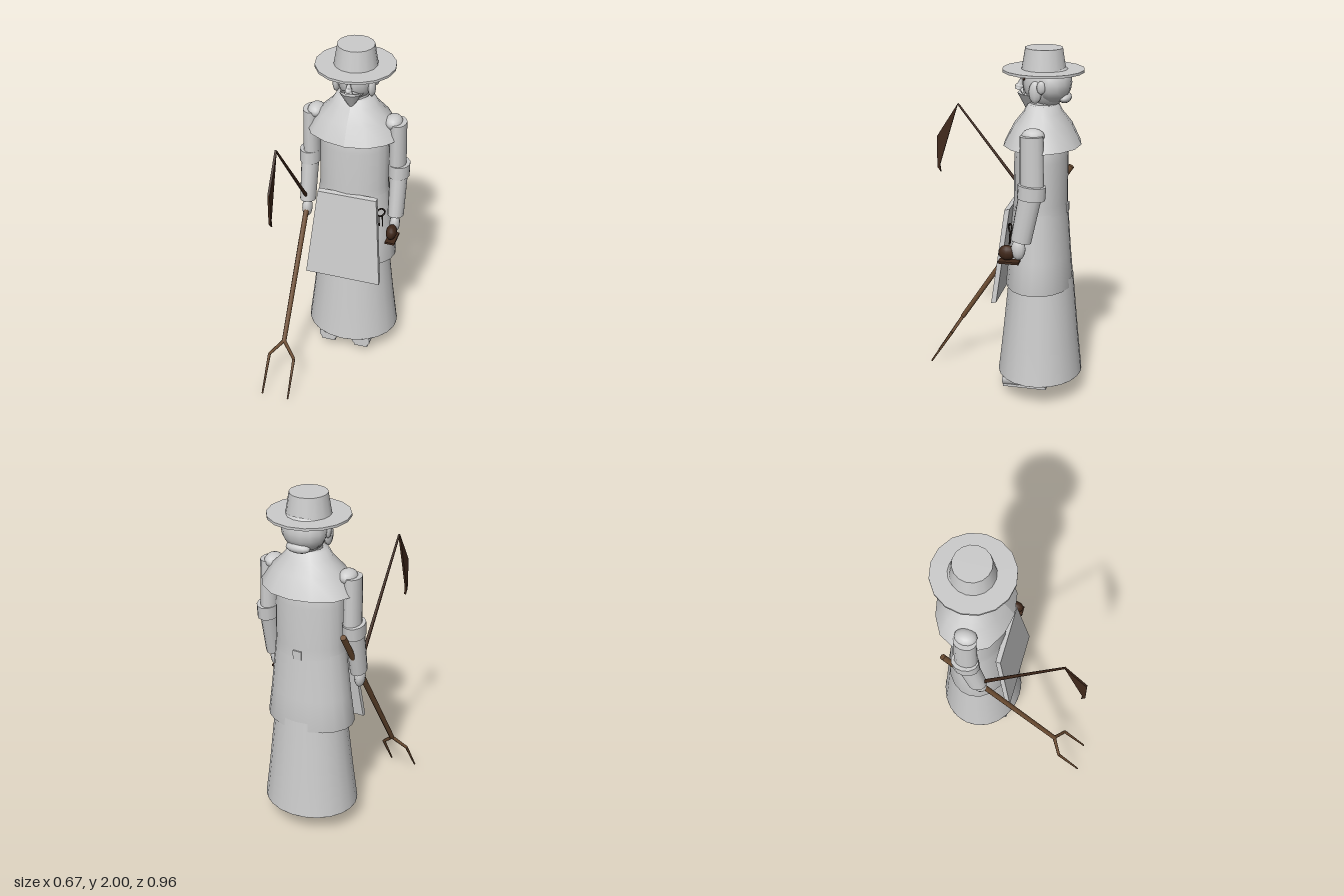
import * as THREE from 'three';

const mat = (name, color, side = THREE.FrontSide) => {
  const m = new THREE.MeshStandardMaterial({ color, side });
  m.name = name;
  return m;
};

export function createModel() {
  const pale = mat('pale cloth', 0xcccccc, THREE.DoubleSide);
  const wood = mat('wood', 0x6e4e33);
  const darkWood = mat('dark wood', 0x40281a, THREE.DoubleSide);
  const iron = mat('dark iron', 0x2a211c);
  const root = new THREE.Group();
  root.name = 'robedFigure';
  const CX = 0.012, CZ = -0.237;
  const V = (x, y, z) => new THREE.Vector3(x, y, z);

  const add = (name, geo, material, x = 0, y = 0, z = 0) => {
    const m = new THREE.Mesh(geo, material);
    m.name = name;
    m.position.set(x, y, z);
    root.add(m);
    return m;
  };
  // turned shape around the body axis; profile is [radius, height]
  const turned = (name, profile, sides, sx = 1, sz = 1, z = CZ) => {
    const g = new THREE.LatheGeometry(profile.map(p => new THREE.Vector2(...p)), sides);
    g.scale(sx, 1, sz);
    return add(name, g, pale, CX, 0, z);
  };
  // tapered rod from a to b
  const rod = (name, a, b, ra, rb, material, sides = 10, sx = 1) => {
    const d = b.clone().sub(a);
    const m = add(name, new THREE.CylinderGeometry(rb, ra, d.length(), sides), material);
    m.position.copy(a).add(b).multiplyScalar(0.5);
    m.quaternion.setFromUnitVectors(V(0, 1, 0), d.normalize());
    m.scale.x = sx;
    return m;
  };
  const ball = (name, x, y, z, rx, ry, rz, material = pale, n = 14) => {
    const g = new THREE.SphereGeometry(1, n, 10);
    g.scale(rx, ry, rz);
    return add(name, g, material, x, y, z);
  };
  // prism from a loop of four lower and four upper corners
  const slab = (name, lower, upper, material) => {
    const p = [...lower, ...upper];
    const quads = [[3, 2, 1, 0], [4, 5, 6, 7]];
    for (let i = 0; i < 4; i++) quads.push([i, (i + 1) % 4, (i + 1) % 4 + 4, i + 4]);
    const pos = quads.flatMap(([a, b, c, d]) => [a, b, c, a, c, d].flatMap(i => p[i]));
    const g = new THREE.BufferGeometry();
    g.setAttribute('position', new THREE.Float32BufferAttribute(pos, 3));
    g.computeVertexNormals();
    return add(name, g, material);
  };

  // robe, coat and torso
  turned('robe', [[0.272, 0.13], [0.245, 0.35], [0.205, 0.72]], 22, 1, 0.88);
  const hem = add('robeBase', new THREE.CircleGeometry(0.272, 22), pale, CX, 0.131, CZ);
  hem.rotation.x = Math.PI / 2;
  hem.scale.y = 0.88;
  turned('coatSkirt', [[0.225, 0.67], [0.255, 0.67], [0.232, 0.85], [0.204, 1.12]], 20, 1, 0.74, -0.229);
  turned('torso', [[0.205, 1.1], [0.2, 1.16], [0.198, 1.4], [0.18, 1.56], [0.09, 1.62]], 20, 1, 0.74, -0.23);
  add('beltKnot', new THREE.BoxGeometry(0.05, 0.05, 0.015), pale, CX, 1.12, -0.378);

  // cape with an uneven lower edge and a standing collar
  const cape = turned('cape', [[0.272, 1.48], [0.205, 1.585], [0.135, 1.655], [0.108, 1.7], [0.075, 1.7]], 14, 1, 0.78);
  const cp = cape.geometry.attributes.position;
  for (let i = 0; i < cp.count; i++) {
    if (cp.getY(i) < 1.5) {
      const k = 1 + 0.02 * Math.cos(7 * Math.atan2(cp.getZ(i), cp.getX(i)));
      cp.setX(i, cp.getX(i) * k);
      cp.setZ(i, cp.getZ(i) * k);
    }
  }
  cape.geometry.computeVertexNormals();

  // apron
  slab('apron',
    [[-0.21, 0.6, 0.003], [0.235, 0.6, 0.003], [0.235, 0.605, -0.025], [-0.21, 0.605, -0.025]],
    [[-0.155, 1.135, -0.062], [0.19, 1.135, -0.062], [0.19, 1.14, -0.09], [-0.155, 1.14, -0.09]], pale);

  // head
  ball('head', CX, 1.81, -0.25, 0.108, 0.135, 0.125);
  ball('hair', CX, 1.815, -0.285, 0.126, 0.115, 0.105);
  ball('backHairCurl', CX, 1.735, -0.355, 0.07, 0.028, 0.035);
  rod('neck', V(CX, 1.6, CZ), V(CX, 1.75, CZ), 0.075, 0.07, pale);
  const nose = add('nose', new THREE.ConeGeometry(0.024, 0.085, 8), pale, CX, 1.81, -0.112);
  nose.rotation.x = -0.25;
  ball('noseTip', CX, 1.785, -0.105, 0.02, 0.018, 0.024, pale, 8);
  const beard = add('beard', new THREE.ConeGeometry(0.066, 0.1, 9), pale, CX, 1.698, -0.155);
  beard.rotation.x = Math.PI - 0.1;
  for (const s of [-1, 1]) {
    const x = o => CX + s * o;
    ball('ear', x(0.117), 1.805, -0.245, 0.014, 0.035, 0.024, pale, 8);
    ball('sideburn', x(0.1), 1.775, -0.21, 0.022, 0.06, 0.035, pale, 8);
    rod('moustache', V(x(0), 1.772, -0.115), V(x(0.055), 1.752, -0.14), 0.012, 0.004, pale, 6);
    ball('eye', x(0.04), 1.834, -0.137, 0.017, 0.009, 0.008, darkWood, 8);
    rod('eyebrow', V(x(0.018), 1.846, -0.13), V(x(0.062), 1.849, -0.147), 0.005, 0.003, iron, 5);
  }
  rod('mouth', V(CX - 0.022, 1.748, -0.135), V(CX + 0.022, 1.748, -0.135), 0.003, 0.003, iron, 5);

  // hat
  add('hatBrim', new THREE.CylinderGeometry(0.222, 0.222, 0.014, 16), pale, CX, 1.88, -0.235);
  add('hatCrown', new THREE.CylinderGeometry(0.102, 0.122, 0.12, 16), pale, CX, 1.94, -0.237);

  // arms and feet
  for (const s of [-1, 1]) {
    const x = o => CX + s * o;
    rod('upperArm', V(x(0.252), 1.25, -0.228), V(x(0.25), 1.575, -0.222), 0.066, 0.063, pale, 14, 0.74);
    ball('shoulder', x(0.222), 1.57, -0.225, 0.05, 0.04, 0.062);
    rod('sleeveCuff', V(x(0.262), 1.235, -0.225), V(x(0.262), 1.31, -0.23), 0.077, 0.077, pale, 12, 0.78);
    rod('forearm', V(x(0.264), 0.995, -0.172), V(x(0.262), 1.26, -0.222), 0.057, 0.063, pale, 14, 0.8);
    ball('hand', x(0.264), 0.945, -0.158, 0.03, 0.06, 0.04, pale, 10);
    const shoe = rod('shoe', V(x(0.103), 0.1, -0.3), V(x(0.103), 0.1, -0.045), 0.055, 0.058, pale, 10);
    shoe.scale.z = 0.8;
    add('sole', new THREE.BoxGeometry(0.085, 0.015, 0.25), pale, x(0.103), 0.062, -0.172);
    rod('ankle', V(x(0.103), 0.1, -0.24), V(x(0.103), 0.3, -0.24), 0.05, 0.05, pale);
  }

  // two-pronged fork in the right hand
  const FX = -0.25;
  rod('forkHandle', V(FX, 0.285, 0.295), V(FX, 1.28, -0.355), 0.014, 0.017, wood, 8);
  for (const s of [-1, 1]) {
    const bend = V(FX + s * 0.076, 0.205, 0.345);
    rod('forkShoulder', V(FX, 0.287, 0.294), bend, 0.011, 0.009, wood, 6);
    rod('forkProng', bend, V(FX + s * 0.079, 0.003, 0.475), 0.009, 0.005, wood, 6);
  }

  // scythe in the right hand
  rod('scythePole', V(FX, 1.0, -0.165), V(FX, 1.607, 0.31), 0.011, 0.006, darkWood, 6);
  const blade = new THREE.Shape([[0.31, 1.61], [0.437, 1.41], [0.438, 1.225], [0.417, 1.195], [0.422, 1.24]]
    .map(p => new THREE.Vector2(...p)));
  const bg = new THREE.ExtrudeGeometry(blade, { depth: 0.012, bevelEnabled: false });
  bg.rotateY(-Math.PI / 2);
  add('scytheBlade', bg, darkWood, FX + 0.006, 0, 0);

  // small pot on a plate in the left hand
  ball('pot', 0.275, 0.922, -0.095, 0.031, 0.043, 0.048, darkWood, 10);
  add('potPlate', new THREE.BoxGeometry(0.056, 0.012, 0.115), darkWood, 0.277, 0.871, -0.107);

  // ring of keys at the belt
  const ring = add('keyRing', new THREE.TorusGeometry(0.025, 0.005, 6, 12), iron, 0.208, 1.04, -0.1);
  ring.rotation.y = 0.6;
  for (const o of [-0.01, 0.01]) {
    rod('key', V(0.208 + o, 1.02, -0.1), V(0.212 + o, 0.95, -0.097), 0.004, 0.004, iron, 5);
  }
  return root;
}
